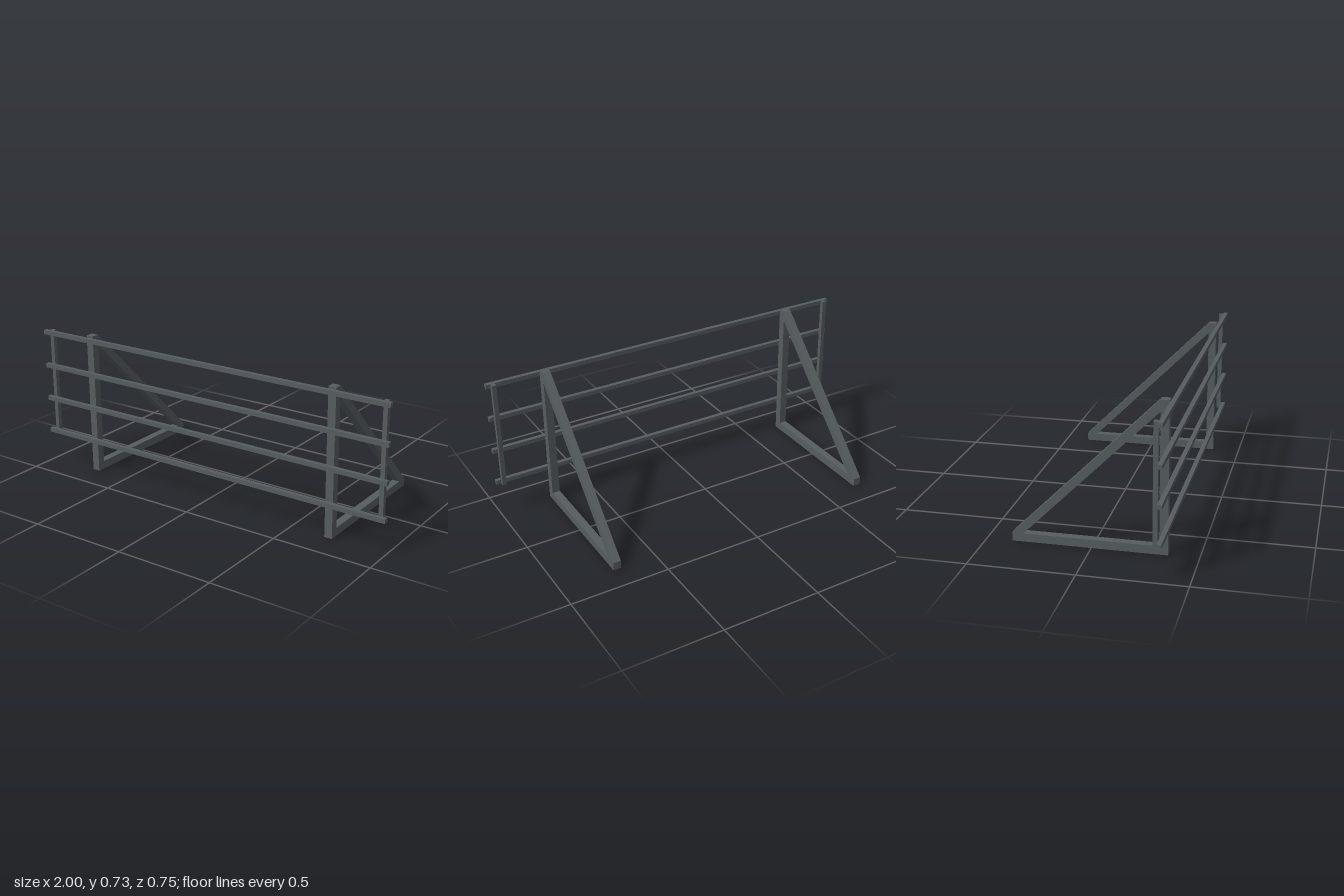
import * as THREE from 'three';

export function createModel() {
  const model = new THREE.Group();
  model.name = 'railBarrier';
  const steel = new THREE.MeshStandardMaterial({ name: 'slate grey steel', color: 0x565c5f });

  const add = (name, geometry, x, y, z) => {
    const mesh = new THREE.Mesh(geometry, steel);
    mesh.name = name;
    mesh.position.set(x, y, z);
    model.add(mesh);
  };
  const points = (list) => list.map(([z, y]) => new THREE.Vector2(z, y));

  // Triangular support: upright, foot and diagonal brace in one outline (z, y)
  const width = 0.04;
  const outline = new THREE.Shape(points([
    [0.355, 0], [0.355, 0.733], [0.315, 0.733], [-0.376, 0.041], [-0.376, 0],
  ]));
  outline.holes.push(new THREE.Path(points([
    [0.315, 0.041], [-0.322, 0.041], [0.315, 0.678],
  ])));
  const support = new THREE.ExtrudeGeometry(outline, { depth: width, bevelEnabled: false });
  support.translate(0, 0, -width / 2);
  support.rotateY(-Math.PI / 2);

  // Thin bars: four long rails in front, an end post behind them on each side
  const bar = 0.022;
  const rail = new THREE.BoxGeometry(2, bar, bar);
  const post = new THREE.BoxGeometry(bar, 0.56, bar);

  for (const [side, s] of [['left', 1], ['right', -1]]) {
    add(`${side}Support`, support, s * 0.704, 0, 0);
    add(`${side}EndPost`, post, s * 0.966, 0.441, 0.344);
  }
  for (let i = 0; i < 4; i++) add(`rail${i + 1}`, rail, 0, 0.171 + i * 0.18, 0.366);

  return model;
}
